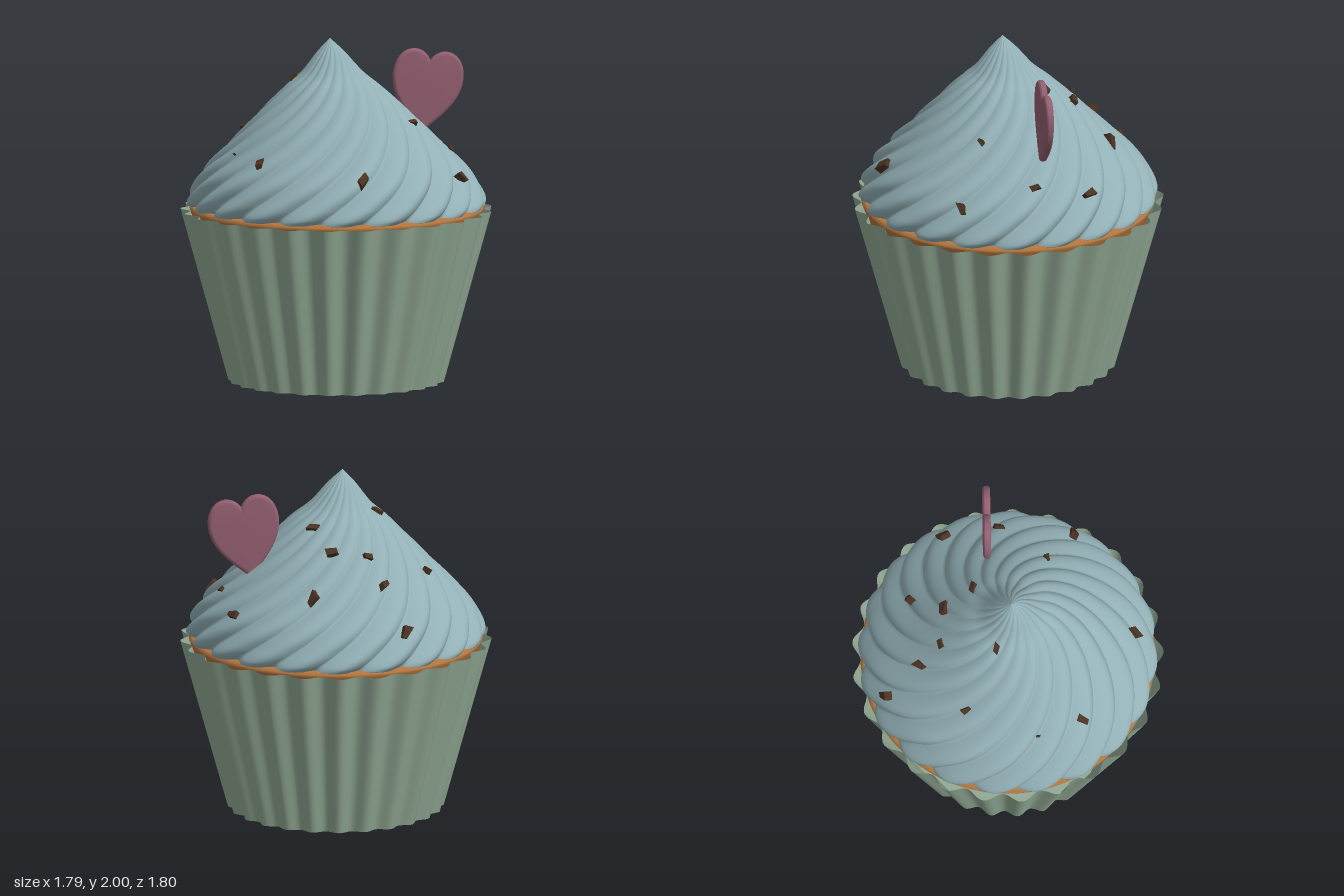
import * as THREE from 'three';
import { mergeVertices, toCreasedNormals } from 'three/addons/utils/BufferGeometryUtils.js';
import { ParametricGeometry } from 'three/addons/geometries/ParametricGeometry.js';

const mat = (name, color, side = THREE.FrontSide) => {
  const m = new THREE.MeshStandardMaterial({ color, side });
  m.name = name;
  return m;
};

// Weld seams and give smooth normals
function smooth(geo) {
  geo.deleteAttribute('uv');
  geo.deleteAttribute('normal');
  const g = mergeVertices(geo, 1e-5);
  g.computeVertexNormals();
  return g;
}

// Push vertices in and out around the axis to make paper pleats
function pleat(geo) {
  const p = geo.attributes.position;
  for (let i = 0; i < p.count; i++) {
    const s = 1 + 0.029 * Math.cos(25 * Math.atan2(p.getZ(i), p.getX(i)));
    p.setX(i, p.getX(i) * s);
    p.setZ(i, p.getZ(i) * s);
  }
  return smooth(geo);
}

// Frosting outline from tip to rim: [radius, height]
const outline = [
  [0, 2], [0.08, 1.92], [0.18, 1.8], [0.28, 1.715], [0.41, 1.59], [0.57, 1.43],
  [0.76, 1.24], [0.84, 1.12], [0.865, 1.055], [0.855, 1.02],
];
const profile = new THREE.SplineCurve(outline.map(([r, y]) => new THREE.Vector2(r, y)));
const lean = (y) => 0.05 * Math.max(0, y - 1) ** 2;

function frostingGeometry() {
  const ridges = 20;
  const point = (u, v, target) => {
    const q = profile.getPoint(Math.min(1, v / 0.96));
    if (v > 0.96) q.set(0.855 - (v - 0.96) * 3, 1.02 - (v - 0.96) * 0.2);
    const a = u * Math.PI * 2;
    const r = q.x * (1 - 0.065 * (1 - Math.abs(Math.sin(a * ridges / 2))));
    const swirl = a + 1.8 * (2 - q.y);
    target.set(r * Math.cos(swirl), q.y, r * Math.sin(swirl) + lean(q.y));
  };
  return smooth(new ParametricGeometry(point, ridges * 14, 75));
}

function heartGeometry() {
  const s = new THREE.Shape();
  s.moveTo(0, 0);
  s.bezierCurveTo(0.06, 0.07, 0.19, 0.17, 0.19, 0.31);
  s.bezierCurveTo(0.19, 0.47, 0.03, 0.49, 0, 0.355);
  s.bezierCurveTo(-0.03, 0.49, -0.19, 0.47, -0.19, 0.31);
  s.bezierCurveTo(-0.19, 0.17, -0.06, 0.07, 0, 0);
  const geo = new THREE.ExtrudeGeometry(s, {
    depth: 0.006, bevelThickness: 0.02, bevelSize: 0.022, bevelOffset: -0.004,
    bevelSegments: 5, curveSegments: 16,
  });
  geo.translate(0, 0, -0.003);
  return toCreasedNormals(geo, 0.7);
}

// Irregular chopped chip: a box with one end narrowed and skewed
function chipGeometry(k) {
  const geo = new THREE.BoxGeometry(0.07, 0.045, 0.045);
  const p = geo.attributes.position;
  for (let i = 0; i < p.count; i++) {
    if (p.getX(i) > 0) {
      p.setY(i, p.getY(i) * (0.55 + 0.1 * (k % 4)) + 0.008);
      p.setZ(i, p.getZ(i) * 0.75);
    }
    p.setX(i, p.getX(i) + p.getY(i) * (k % 2 ? 0.4 : -0.3));
  }
  geo.computeVertexNormals();
  return geo;
}

export function createModel() {
  const model = new THREE.Group();
  model.name = 'cupcake';
  const paper = mat('sage paper', 0x93ab95, THREE.DoubleSide);
  const cream = mat('blue frosting', 0x92b0b6);
  const sponge = mat('golden sponge', 0xb5773f);
  const pink = mat('rose candy', 0x935f70);
  const chocolate = mat('dark chocolate', 0x4a3222);

  const add = (name, geo, material, parent = model) => {
    const m = new THREE.Mesh(geo, material);
    m.name = name;
    parent.add(m);
    return m;
  };

  // Pleated paper cup and its base
  const wall = new THREE.CylinderGeometry(0.875, 0.607, 1, 300, 4, true).translate(0, 0.5, 0);
  add('paperCup', pleat(wall), paper);
  const base = new THREE.CircleGeometry(0.607, 300).rotateX(Math.PI / 2);
  add('cupBase', pleat(base), paper);

  // Sponge showing between cup and frosting
  const cake = [[0.81, 0.9], [0.845, 0.995], [0.85, 1.012], [0.83, 1.025], [0.7, 1.04], [0, 1.05]];
  add('sponge', new THREE.LatheGeometry(cake.map(([r, y]) => new THREE.Vector2(r, y)), 96), sponge);

  // Swirled frosting
  add('frosting', frostingGeometry(), cream);

  // Heart topper, standing upright in the frosting
  const topper = new THREE.Group();
  topper.name = 'heartTopper';
  topper.position.set(0.155, 1.435, -0.5);
  topper.rotation.y = 1.056;
  add('heart', heartGeometry(), pink, topper).rotation.z = -0.14;
  model.add(topper);

  // Chocolate chips scattered on the frosting: [x, z, scale]
  const chips = [
    [0.01, -0.74, 1], [-0.38, -0.47, 1.05], [-0.285, -0.265, 1], [-0.09, -0.26, 0.8],
    [-0.77, -0.09, 1.1], [-0.55, -0.08, 0.95], [-0.4, -0.095, 0.75], [-0.175, 0.135, 0.75],
    [-0.46, 0.3, 0.75], [-0.165, 0.62, 0.3], [0.11, 0.66, 0.95], [0.655, 0.33, 1.05],
    [0.4, -0.25, 0.65], [0.67, -0.385, 0.95], [0.295, -0.61, 0.8],
  ];
  const scatter = new THREE.Group();
  scatter.name = 'chocolateChips';
  model.add(scatter);
  chips.forEach(([x, z, size], k) => {
    const r = Math.hypot(x, z);
    const i = outline.findIndex((q) => q[0] >= r);
    const [[r0, y0], [r1, y1]] = [outline[i - 1], outline[i]];
    const y = y0 + (y1 - y0) * (r - r0) / (r1 - r0);
    const normal = new THREE.Vector3(x / r * (y0 - y1), r1 - r0, z / r * (y0 - y1)).normalize();
    const chip = add('chip', chipGeometry(k), chocolate, scatter);
    chip.position.set(x, y, z + lean(y));
    chip.quaternion.setFromUnitVectors(new THREE.Vector3(0, 0, 1), normal);
    chip.rotateZ(k * 2.4);
    chip.rotateY(0.45 * Math.sin(k * 1.7));
    chip.scale.setScalar(size);
  });

  return model;
}
